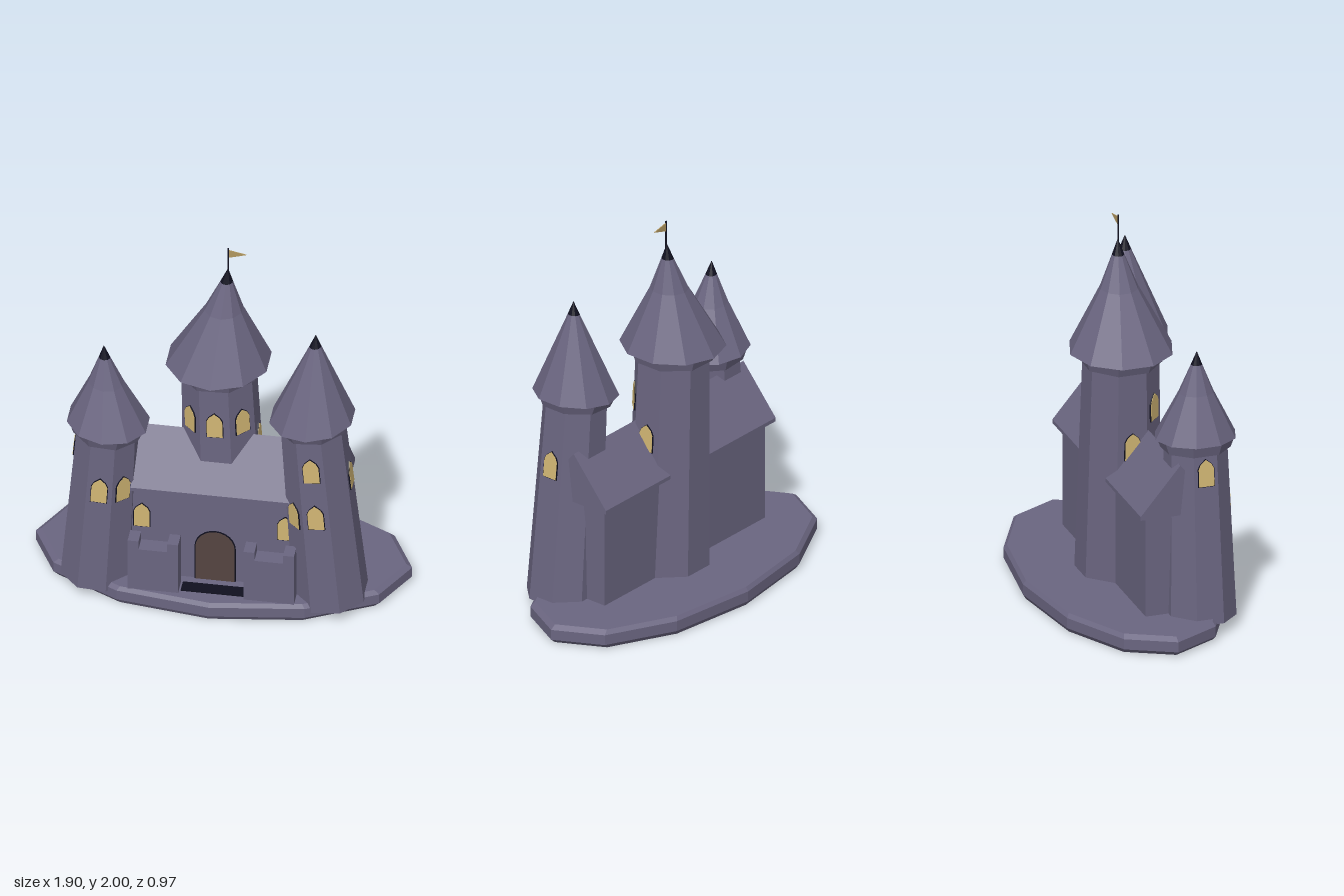
import * as THREE from 'three';

const mat = (name, color) => {
  const m = new THREE.MeshStandardMaterial({ color });
  m.name = name;
  return m;
};

export function createModel() {
  const stone = mat('stone', 0x6a6580);
  const dark = mat('darkTrim', 0x10101f);
  const glow = mat('windowGlow', 0xd0b573);
  const wood = mat('doorWood', 0x554440);
  const cloth = mat('flagCloth', 0xb0965f);
  const castle = new THREE.Group();
  castle.name = 'castle';

  const add = (parent, name, geo, material, x = 0, y = 0, z = 0) => {
    const flat = geo.index ? geo.toNonIndexed() : geo;
    flat.computeVertexNormals();
    const m = new THREE.Mesh(flat, material);
    m.name = name;
    m.position.set(x, y, z);
    parent.add(m);
    return m;
  };

  // Faceted ring from y0 to y1; the axis can drift sideways from d0 to d1
  const ring = (y0, y1, r0, r1, sides, turn = 0, d0 = 0, d1 = 0) => {
    const g = new THREE.CylinderGeometry(r1, r0, y1 - y0, sides);
    g.rotateY(turn);
    g.translate(0, (y0 + y1) / 2, 0);
    const p = g.attributes.position;
    for (let i = 0; i < p.count; i++) {
      const t = (p.getY(i) - y0) / (y1 - y0);
      p.setX(i, p.getX(i) + d0 + (d1 - d0) * t);
    }
    return g;
  };

  // Plate from an outline of [x, y] points, back face on z = 0
  const plate = (pts, depth) => new THREE.ExtrudeGeometry(
    new THREE.Shape(pts.map(([x, y]) => new THREE.Vector2(x, y))),
    { depth, bevelEnabled: false });

  // Pointed window with a dark rim, centred on its own origin
  const windowPane = (w = 0.08, h = 0.14) => {
    const g = new THREE.Group();
    g.name = 'window';
    const outline = (e) => {
      const a = w / 2 + e, b = h / 2 + e;
      return [[-a, -b], [a, -b], [a, h * 0.16], [a * 0.72, h * 0.33],
        [0, b], [-a * 0.72, h * 0.33], [-a, h * 0.16]];
    };
    add(g, 'windowRim', plate(outline(0.003), 0.007), dark);
    add(g, 'windowGlass', plate(outline(0), 0.009), glow);
    return g;
  };

  // Island base
  const base = new THREE.Group();
  base.name = 'base';
  castle.add(base);
  [[0, 0.025, 0.92, 0.95], [0.025, 0.08, 0.95, 0.95], [0.08, 0.1, 0.95, 0.92]].forEach(([y0, y1, r0, r1]) => {
    add(base, 'baseTier', ring(y0, y1, r0, r1, 12), stone).scale.z = 0.51;
  });

  // Leaning tower: heights are measured from the base top
  const tower = (name, o) => {
    const g = new THREE.Group();
    g.name = name;
    g.position.set(o.x, 0.09, o.z);
    g.rotation.z = o.lean;
    castle.add(g);
    const k = 1 / Math.cos(Math.PI / 8), turn = Math.PI / 8;
    const [eave, mid, tip, apex] = o.roof;
    add(g, name + 'Body', ring(-0.03, o.top, o.a0 * k, o.a1 * k, 8, turn), stone);
    add(g, name + 'Collar', ring(o.top, eave, (o.a1 + 0.015) * k, (o.a1 + 0.035) * k, 8, turn), stone);
    // Roof straightens up towards its apex
    const drift = (y) => o.drift * (y - eave) / (apex - eave);
    const tipR = o.midR * (apex - tip) / (apex - mid);
    add(g, name + 'RoofLower', ring(eave, mid, o.eaveR, o.midR, 10, 0, 0, drift(mid)), stone);
    add(g, name + 'RoofUpper', ring(mid, tip, o.midR, tipR, 10, 0, drift(mid), drift(tip)), stone);
    add(g, name + 'RoofTip', ring(tip, apex, tipR, 0.001, 10, 0, drift(tip), drift(apex)), dark);
    // Windows: [face index counted from the front towards +x, height]
    o.windows.forEach(([face, y]) => {
      const side = new THREE.Group();
      side.name = 'windowSide';
      side.rotation.y = face * Math.PI / 4;
      const w = windowPane();
      w.position.set(0, y, o.a0 + (o.a1 - o.a0) * (y + 0.03) / (o.top + 0.03));
      w.rotation.x = -Math.atan((o.a0 - o.a1) / o.top);
      side.add(w);
      g.add(side);
    });
  };

  tower('centralTower', {
    x: 0.018, z: 0.025, lean: 0.034, a0: 0.203, a1: 0.178, top: 1.145,
    roof: [1.21, 1.53, 1.70, 1.78], eaveR: 0.268, midR: 0.098, drift: 0.067,
    windows: [[-1, 0.93], [0, 0.93], [1, 0.93], [2, 0.75], [-2, 0.75]],
  });
  tower('leftTower', {
    x: 0.575, z: 0.232, lean: 0.086, a0: 0.178, a1: 0.153, top: 1.02,
    roof: [1.07, 1.36, 1.51, 1.58], eaveR: 0.218, midR: 0.094, drift: 0.062,
    windows: [[0, 0.845], [0, 0.56], [-1, 0.54], [2, 0.72]],
  });
  tower('rightTower', {
    x: -0.602, z: 0.232, lean: -0.06, a0: 0.173, a1: 0.148, top: 0.86,
    roof: [0.92, 1.16, 1.31, 1.38], eaveR: 0.21, midR: 0.09, drift: -0.05,
    windows: [[0, 0.59], [1, 0.59], [-2, 0.77]],
  });

  // Great hall with a gabled roof along x
  add(castle, 'hallWalls', new THREE.BoxGeometry(1.24, 0.58, 0.335), stone, -0.013, 0.36, 0.107);
  const gable = plate([[-0.32, 0.64], [0.1, 0.64], [0.1, 0.66], [-0.11, 0.91], [-0.32, 0.66]], 1.315);
  gable.rotateY(Math.PI / 2);
  add(castle, 'hallRoof', gable, stone, -0.67, 0, 0);
  [-0.37, 0.355].forEach((x) => {
    const w = windowPane();
    w.position.set(x, 0.465, 0.274);
    castle.add(w);
  });

  // Arched door with a dark rim
  const arch = (r, top) => {
    const s = new THREE.Shape();
    s.moveTo(-r, 0.1);
    s.lineTo(r, 0.1);
    s.lineTo(r, top - r);
    s.absarc(0, top - r, r, 0, Math.PI);
    s.lineTo(-r, 0.1);
    return s;
  };
  const archPlate = (r, top, depth) => new THREE.ExtrudeGeometry(arch(r, top), { depth, bevelEnabled: false, curveSegments: 6 });
  add(castle, 'doorRim', archPlate(0.104, 0.404, 0.007), dark, 0, 0, 0.274);
  add(castle, 'door', archPlate(0.099, 0.4, 0.009), wood, 0, 0, 0.274);
  add(castle, 'doorstep', new THREE.BoxGeometry(0.32, 0.006, 0.07), dark, 0.005, 0.103, 0.36);

  // Crenellated front walls either side of the gate
  [-1, 1].forEach((s) => {
    const pts = [[0.165, 0.09], [0.42, 0.09], [0.42, 0.4], [0.365, 0.4], [0.365, 0.35],
      [0.22, 0.35], [0.22, 0.4], [0.165, 0.4]].map(([x, y]) => [x * s, y]);
    add(castle, 'gateWall', plate(pts, 0.085), stone, 0, 0, 0.33);
  });

  // Pole and pennant
  add(castle, 'flagPole', new THREE.CylinderGeometry(0.005, 0.005, 0.15, 6), dark, 0.026, 1.925, 0.028);
  add(castle, 'flag', plate([[0, 0], [0.088, 0.027], [0, 0.045]], 0.005), cloth, 0.03, 1.945, 0.026);

  return castle;
}
